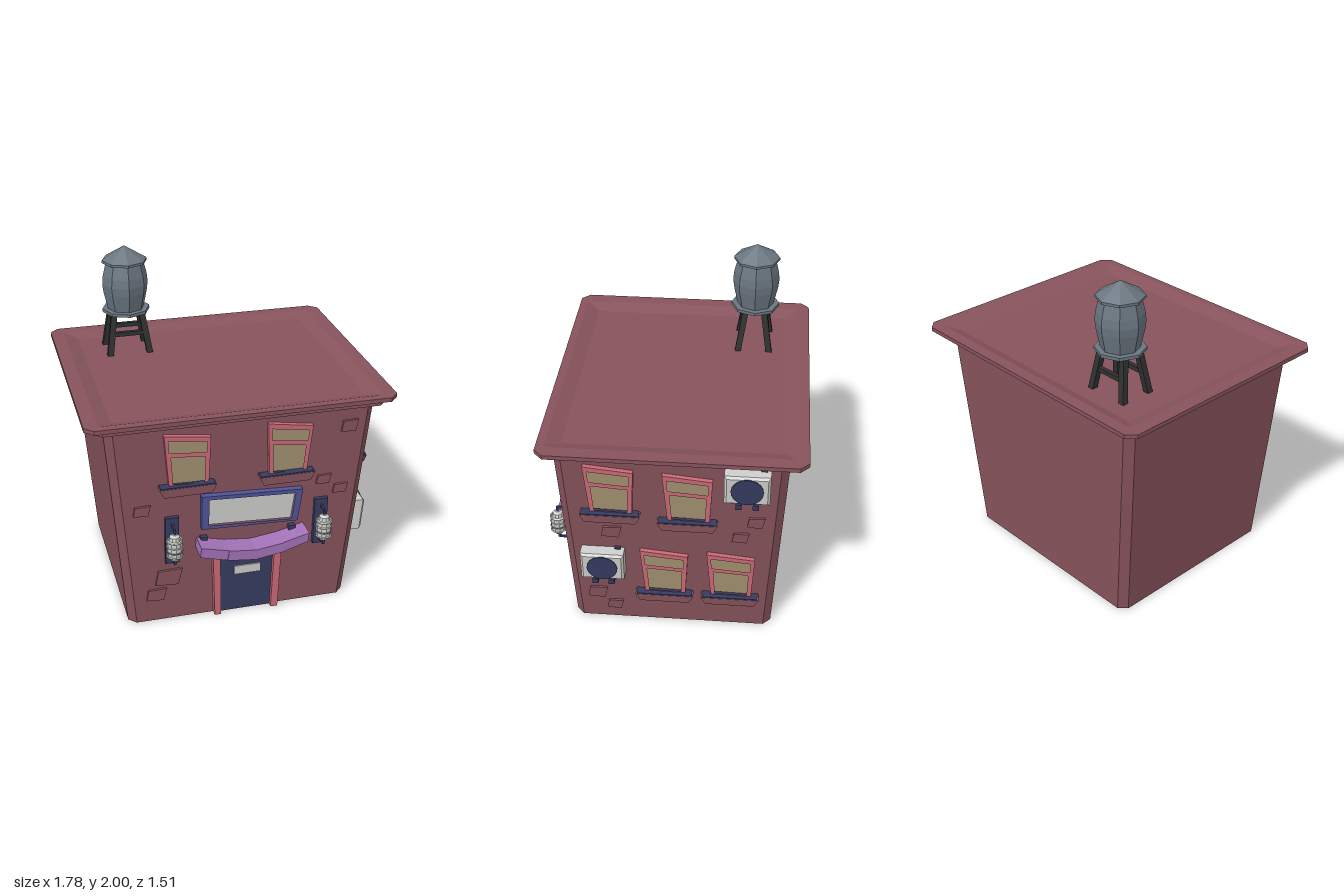
import * as THREE from 'three';

const paint = (name, color) => Object.assign(new THREE.MeshStandardMaterial({ color }), { name });
const M = {
  brick: paint('brick red', 0x87535c),
  pink: paint('trim pink', 0xcc6a78),
  glass: paint('window tan', 0xa39171),
  navy: paint('navy', 0x363c62),
  blue: paint('sign blue', 0x51549a),
  purple: paint('awning purple', 0xa373b8),
  steel: paint('tank steel', 0x6a7680),
  black: paint('leg black', 0x2f3130),
  white: paint('off white', 0xcfcfcd),
};

// Give every face its own normal
function flat(geo) {
  const g = geo.index ? geo.toNonIndexed() : geo;
  g.computeVertexNormals();
  return g;
}

function add(parent, name, geo, mat) {
  const mesh = new THREE.Mesh(flat(geo), mat);
  mesh.name = name;
  parent.add(mesh);
  return mesh;
}

// Rectangle with cut corners at height y
function ring(y, hx, zb, zf, c) {
  return [[hx, zb + c], [hx, zf - c], [hx - c, zf], [-hx + c, zf],
    [-hx, zf - c], [-hx, zb + c], [-hx + c, zb], [hx - c, zb]].map(([x, z]) => [x, y, z]);
}

// Skin a stack of rings and close both ends
function loft(rings) {
  const pos = [];
  const tri = (...p) => p.forEach((v) => pos.push(...v));
  for (let k = 0; k + 1 < rings.length; k++) {
    const a = rings[k], b = rings[k + 1], n = a.length;
    for (let i = 0; i < n; i++) {
      const j = (i + 1) % n;
      tri(a[i], b[i], b[j]);
      tri(a[i], b[j], a[j]);
    }
  }
  const lo = rings[0], hi = rings[rings.length - 1];
  for (let i = 1; i + 1 < lo.length; i++) {
    tri(lo[0], lo[i], lo[i + 1]);
    tri(hi[0], hi[i + 1], hi[i]);
  }
  const g = new THREE.BufferGeometry();
  g.setAttribute('position', new THREE.Float32BufferAttribute(pos, 3));
  return g;
}

// Leaning walls: (across, up, out) to model space
const WALL = {
  front: (u, v, d) => [u, v, 0.59 + 0.046 * v + d],
  side: (u, v, d) => [0.67 + 0.084 * v + d, v, -u],
};

function onWall(geo, wall) {
  const p = geo.attributes.position;
  for (let i = 0; i < p.count; i++) p.setXYZ(i, ...WALL[wall](p.getX(i), p.getY(i), p.getZ(i)));
  return geo;
}

// Extruded outline on a wall, from depth d0 to d1
function plate(parent, name, wall, pts, d0, d1, mat, holes = [], bevel = 0) {
  const vec = (l) => l.map(([x, y]) => new THREE.Vector2(x, y));
  const s = new THREE.Shape(vec(pts));
  holes.forEach((h) => s.holes.push(new THREE.Path(vec(h))));
  const g = new THREE.ExtrudeGeometry(s, {
    depth: d1 - d0 - bevel, bevelEnabled: bevel > 0, bevelSize: bevel,
    bevelThickness: bevel, bevelOffset: -bevel, bevelSegments: 1,
  });
  g.translate(0, 0, d0);
  return add(parent, name, onWall(g, wall), mat);
}

const rect = (x0, x1, y0, y1) => [[x0, y1], [x1, y1], [x1, y0], [x0, y0]];

// Patch inside a quad (TL, TR, BR, BL); s runs right, t runs up
function patch(q, s0, s1, t0, t1) {
  const at = (s, t) => [0, 1].map((k) =>
    (q[3][k] * (1 - s) + q[2][k] * s) * (1 - t) + (q[0][k] * (1 - s) + q[1][k] * s) * t);
  return [at(s0, t1), at(s1, t1), at(s1, t0), at(s0, t0)];
}

function group(parent, name) {
  const g = new THREE.Group();
  g.name = name;
  parent.add(g);
  return g;
}

// Square bar between two points
function beam(parent, name, a, b, w, mat) {
  const A = new THREE.Vector3(...a), B = new THREE.Vector3(...b);
  const m = add(parent, name, new THREE.BoxGeometry(w, A.distanceTo(B), w), mat);
  m.position.copy(A).lerp(B, 0.5);
  m.quaternion.setFromUnitVectors(new THREE.Vector3(0, 1, 0), B.sub(A).normalize());
}

function addWindow(parent, wall, q, [s0, s1, top]) {
  const g = group(parent, 'window');
  const upper = patch(q, 0.08, 0.92, 0.67, 0.9), lower = patch(q, 0.11, 0.89, 0.02, 0.58);
  plate(g, 'windowFrame', wall, q, -0.01, 0.028, M.pink, [upper, lower]);
  plate(g, 'windowPane', wall, patch(q, 0.04, 0.96, 0.01, 0.95), -0.005, 0.008, M.glass);
  plate(g, 'windowSill', wall, [[s0, top - 0.008], [s1, top - 0.008], [s1 - 0.027, top - 0.06],
    [s0 + 0.027, top - 0.06]], -0.02, 0.055, M.brick);
  plate(g, 'sillTop', wall, rect(s0 + 0.008, s1 - 0.008, top - 0.008, top), -0.02, 0.053, M.navy);
}

function addAirConditioner(parent, u, v) {
  const g = group(parent, 'airConditioner');
  plate(g, 'unitCase', 'side', rect(u - 0.127, u + 0.127, v - 0.1, v + 0.1), 0, 0.085, M.white, [], 0.014);
  const disc = new THREE.CylinderGeometry(0.09, 0.09, 0.008, 20).rotateX(Math.PI / 2).translate(u, v, 0.087);
  add(g, 'fan', onWall(disc, 'side'), M.navy);
  for (const s of [-0.045, 0.05]) {
    plate(g, 'bracket', 'side', rect(u + s - 0.017, u + s + 0.017, v - 0.135, v - 0.1), -0.01, 0.085, M.navy);
  }
  plate(g, 'pipe', 'side', rect(u + 0.07, u + 0.105, v + 0.09, v + 0.11), -0.01, 0.02, M.navy);
}

function addLamp(parent, x) {
  const g = group(parent, 'wallLamp');
  plate(g, 'lampPlate', 'front', rect(x - 0.04, x + 0.04, 0.415, 0.725), -0.01, 0.025, M.navy);
  const z = 0.705, cy = 0.565;
  const bulb = [[0, -0.085], [0.024, -0.08], [0.03, -0.055], [0.042, -0.05], [0.046, -0.01],
    [0.044, 0.045], [0.034, 0.052], [0.03, 0.075], [0.015, 0.087], [0, 0.088]];
  add(g, 'lampGlass', new THREE.LatheGeometry(bulb.map(([r, y]) => new THREE.Vector2(r, y)), 10), M.white)
    .position.set(x, cy, z);
  for (const y of [-0.05, -0.018, 0.015, 0.048]) {
    add(g, 'lampRing', new THREE.TorusGeometry(0.045, 0.005, 4, 10).rotateX(Math.PI / 2),
      y === -0.018 ? M.steel : M.white).position.set(x, cy + y, z);
  }
  beam(g, 'upperArm', [x, 0.68, 0.62], [x, 0.68, z], 0.012, M.navy);
  beam(g, 'upperDrop', [x, 0.685, z], [x, 0.64, z], 0.012, M.navy);
  beam(g, 'lowerArm', [x, 0.45, 0.62], [x, 0.455, z], 0.012, M.navy);
  beam(g, 'lowerPost', [x, 0.45, z], [x, 0.49, z], 0.012, M.navy);
}

function addWaterTower(parent) {
  const g = group(parent, 'waterTower');
  g.position.set(-0.452, 0, -0.415);
  const lathe = (pts) => new THREE.LatheGeometry(pts.map(([r, y]) => new THREE.Vector2(r, y)), 8);
  add(g, 'platform', lathe([[0, 1.593], [0.145, 1.593], [0.145, 1.612], [0, 1.612]]), M.steel);
  add(g, 'tank', lathe([[0.11, 1.61], [0.134, 1.72], [0.139, 1.77], [0.134, 1.82], [0.112, 1.91]]), M.steel);
  add(g, 'tankRoof', lathe([[0, 1.898], [0.137, 1.902], [0.137, 1.917], [0, 2]]), M.steel);
  for (const sz of [-1, 1]) {
    for (const sx of [-1, 1]) {
      beam(g, 'towerLeg', [sx * 0.123, 1.335, sz * 0.095], [sx * 0.083, 1.6, sz * 0.055], 0.036, M.black);
    }
    beam(g, 'crossBar', [-0.1, 1.467, sz * 0.075], [0.1, 1.467, sz * 0.075], 0.026, M.black);
  }
}

export function createModel() {
  const model = new THREE.Group();
  model.name = 'cornerBuilding';

  // Walls flare outward; the roof is a stepped cornice with a shallow tray
  add(model, 'walls', loft([ring(0, 0.67, -0.6, 0.59, 0.045), ring(1.315, 0.78, -0.66, 0.65, 0.045)]), M.brick);
  add(model, 'roof', loft([
    ring(1.31, 0.84, -0.71, 0.69, 0.05), ring(1.345, 0.84, -0.71, 0.69, 0.05),
    ring(1.345, 0.89, -0.757, 0.727, 0.05), ring(1.37, 0.89, -0.757, 0.727, 0.05),
    ring(1.37, 0.81, -0.69, 0.68, 0.012), ring(1.342, 0.73, -0.62, 0.6, 0.012),
  ]), M.brick);
  addWaterTower(model);

  // Windows: corners TL, TR, BR, BL, then sill start, end, top
  addWindow(model, 'front', [[-0.455, 1.263], [-0.19, 1.23], [-0.2, 0.935], [-0.43, 0.945]], [-0.49, -0.16, 0.943]);
  addWindow(model, 'front', [[0.138, 1.268], [0.402, 1.225], [0.376, 0.93], [0.153, 0.945]], [0.09, 0.42, 0.943]);
  const sideWindow = [[-0.14, 0.335], [0.14, 0.305], [0.125, 0], [-0.115, 0.005]];
  for (const [u, v] of [[-0.34, 0.905], [0.1, 0.868], [-0.04, 0.27], [0.35, 0.27]]) {
    addWindow(model, 'side', sideWindow.map(([x, y]) => [x + u, y + v]), [u - 0.172, u + 0.172, v]);
  }
  addAirConditioner(model, 0.43, 1.165);
  addAirConditioner(model, -0.397, 0.502);

  // Door
  const door = group(model, 'entrance');
  plate(door, 'door', 'front', rect(-0.13, 0.21, 0.003, 0.46), -0.01, 0.012, M.navy);
  plate(door, 'leftTrim', 'front', [[0.2, 0.49], [0.245, 0.49], [0.232, 0], [0.19, 0]], -0.01, 0.04, M.pink);
  plate(door, 'rightTrim', 'front', [[-0.175, 0.49], [-0.13, 0.49], [-0.12, 0], [-0.158, 0]], -0.01, 0.04, M.pink);
  plate(door, 'mailSlot', 'front', rect(-0.037, 0.123, 0.265, 0.323), 0.01, 0.02, M.white);

  // Sagging awning in three panels
  const top = [[-0.265, 0.557], [-0.1, 0.515], [0.06, 0.497], [0.225, 0.52], [0.38, 0.562]];
  const low = [[-0.27, 0.493], [-0.11, 0.45], [0.06, 0.43], [0.235, 0.458], [0.375, 0.503]];
  for (const [a, b] of [[0, 1], [1, 3], [3, 4]]) {
    plate(model, 'awningPanel', 'front',
      [...top.slice(a, b + 1), ...low.slice(a, b + 1).reverse()], 0, a === 1 ? 0.13 : 0.125, M.purple);
  }
  for (const x of [-0.225, 0.305]) {
    plate(model, 'awningBracket', 'front', rect(x - 0.02, x + 0.02, 0.432, 0.567), -0.01, 0.03, M.navy);
  }

  // Blank sign
  const outer = [[-0.242, 0.848], [0.358, 0.817], [0.333, 0.605], [-0.242, 0.627]];
  const inner = [[-0.198, 0.822], [0.315, 0.795], [0.295, 0.622], [-0.2, 0.648]];
  plate(model, 'signFrame', 'front', outer, -0.01, 0.038, M.blue, [inner]);
  plate(model, 'signBoard', 'front', inner, -0.01, 0.022, M.white);
  addLamp(model, -0.412);
  addLamp(model, 0.48);

  // Raised bricks: wall, centre, width, height
  const bricks = [
    ['front', -0.583, 0.785, 0.1, 0.065], ['front', 0.49, 0.85, 0.09, 0.06], ['front', 0.595, 0.775, 0.09, 0.06],
    ['front', 0.628, 1.187, 0.1, 0.075], ['front', -0.43, 0.305, 0.16, 0.11], ['front', -0.505, 0.19, 0.12, 0.08],
    ['side', -0.342, 0.735, 0.12, 0.08], ['side', 0.402, 0.74, 0.1, 0.07], ['side', 0.487, 0.865, 0.1, 0.075],
    ['side', -0.444, 0.218, 0.12, 0.085], ['side', -0.342, 0.117, 0.1, 0.07],
  ];
  for (const [wall, u, v, w, h] of bricks) {
    plate(model, 'raisedBrick', wall, [[u - w * 0.4, v + h * 0.45], [u + w * 0.5, v + h * 0.5],
      [u + w * 0.35, v - h * 0.5], [u - w * 0.5, v - h * 0.42]], -0.01, 0.014, M.brick);
  }
  return model;
}
